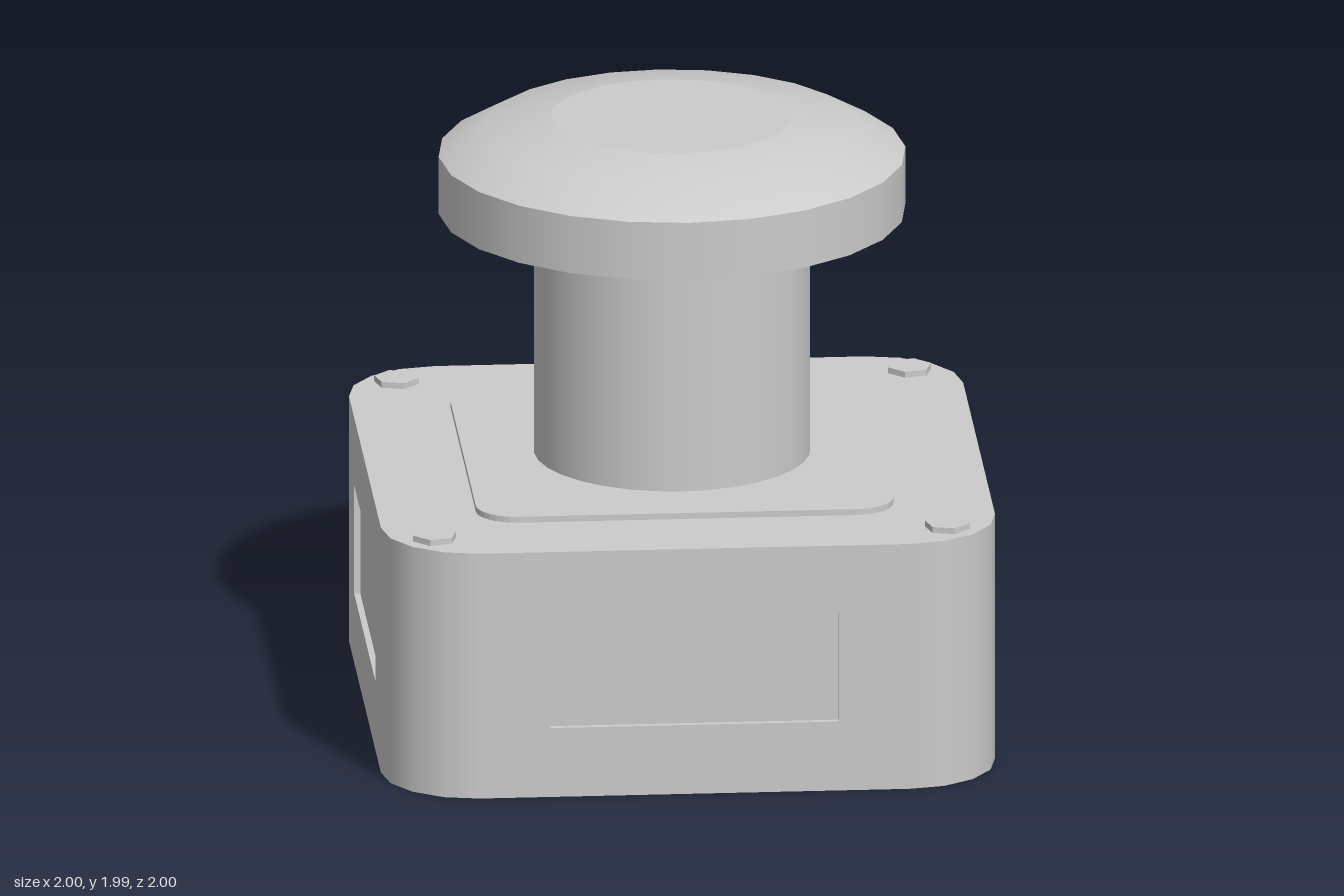
import * as THREE from 'three';

const mat = new THREE.MeshStandardMaterial({ color: 0xcccccc });

function part(name, geometry, parent, x = 0, y = 0, z = 0) {
  const mesh = new THREE.Mesh(geometry, mat);
  mesh.name = name;
  mesh.position.set(x, y, z);
  parent.add(mesh);
  return mesh;
}

// Square outline with half-size h and corner radius r
function roundedSquare(h, r) {
  const s = new THREE.Shape();
  const c = h - r, q = Math.PI / 2;
  [[c, c], [-c, c], [-c, -c], [c, -c]].forEach(([x, y], i) => s.absarc(x, y, r, i * q, (i + 1) * q));
  s.closePath();
  return s;
}

function rect(target, x0, y0, x1, y1) {
  target.moveTo(x0, y0).lineTo(x1, y0).lineTo(x1, y1).lineTo(x0, y1).closePath();
  return target;
}

// Shallow tray open towards +z, with its faces turned inwards
function tray(w, h, d) {
  const g = new THREE.BoxGeometry(w, h, d);
  const idx = Array.from(g.index.array);
  idx.splice(24, 6);
  g.setIndex(idx.reverse());
  g.computeVertexNormals();
  return g;
}

function lathe(points, sides) {
  return new THREE.LatheGeometry(points.map(([r, y]) => new THREE.Vector2(r, y)), sides);
}

export function createModel() {
  const model = new THREE.Group();
  model.name = 'pushButton';

  const H = 0.835, R = 0.3, FLAT = 0.7;
  const panel = { w: 0.47, y0: 0.235, y1: 0.605, depth: 0.02 };

  // Housing: four identical sides, each with a recess, a rounded corner and a bolt
  const housing = new THREE.Group();
  housing.name = 'housing';
  model.add(housing);
  for (let i = 0; i < 4; i++) {
    const side = new THREE.Group();
    side.name = 'housingSide';
    side.rotation.y = i * Math.PI / 2;
    housing.add(side);

    const wall = rect(new THREE.Shape(), -FLAT, 0, FLAT, H);
    wall.holes.push(rect(new THREE.Path(), -panel.w, panel.y0, panel.w, panel.y1));
    part('sideWall', new THREE.ShapeGeometry(wall), side, 0, 0, 1);
    part('sideRecess', tray(2 * panel.w, panel.y1 - panel.y0, panel.depth), side,
      0, (panel.y0 + panel.y1) / 2, 1 - panel.depth / 2);
    part('roundedCorner', new THREE.CylinderGeometry(R, R, H, 4, 1, true, 0, Math.PI / 2), side, FLAT, H / 2, FLAT);

    const bolt = part('bolt', new THREE.CylinderGeometry(0.074, 0.074, 0.03, 6).toNonIndexed(), side, 0.835, H + 0.005, 0.835);
    bolt.geometry.computeVertexNormals();
    bolt.rotation.y = Math.PI / 12;
  }
  const cap = new THREE.ShapeGeometry(roundedSquare(1, R), 2);
  part('housingTop', cap.clone().rotateX(-Math.PI / 2), housing, 0, H, 0);
  part('housingBottom', cap.clone().rotateX(Math.PI / 2), housing);

  // Thin raised plate under the column
  const plate = new THREE.ExtrudeGeometry(roundedSquare(0.68, 0.13), { depth: 0.02, bevelEnabled: false, curveSegments: 4 });
  part('topPlate', plate.rotateX(-Math.PI / 2), model, 0, H, 0);

  // Column
  part('column', new THREE.CylinderGeometry(0.45, 0.45, 0.825, 32, 1, true), model, 0, 0.855 + 0.4125, 0);

  // Mushroom head: underside, rim, dome and flat top kept apart for crisp edges
  const head = new THREE.Group();
  head.name = 'buttonHead';
  model.add(head);
  part('headUnderside', lathe([[0, 1.675], [0.76, 1.675]], 24), head);
  part('headRim', lathe([[0.76, 1.675], [0.76, 1.87]], 24), head);
  part('headDome', lathe([[0.76, 1.87], [0.61, 1.955], [0.395, 1.99]], 24), head);
  part('headTop', lathe([[0.395, 1.99], [0, 1.99]], 24), head);

  return model;
}
